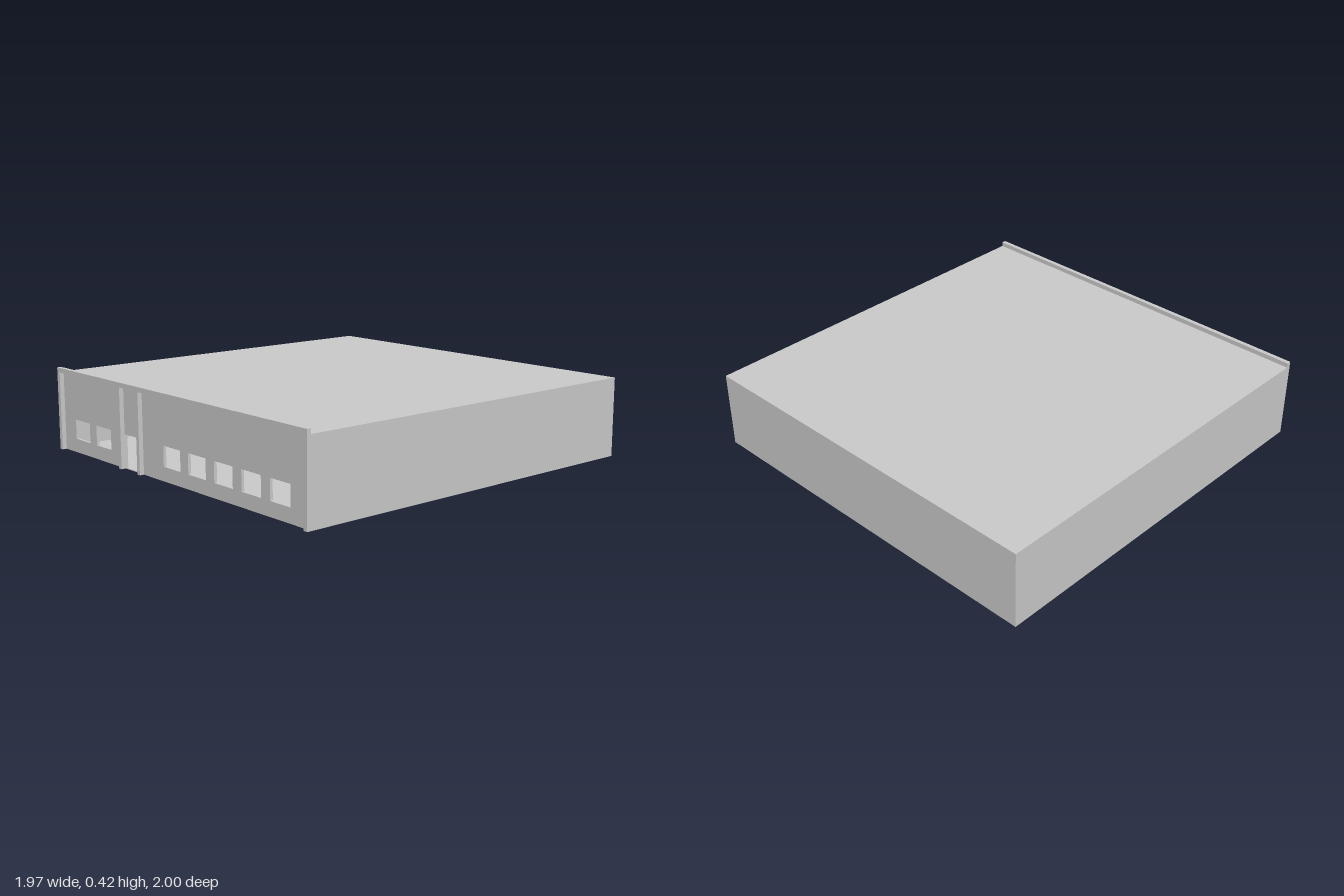
import * as THREE from 'three';

const HALF_W = 0.985, HEIGHT = 0.4, BACK = -1, FACADE = 0.977, FRONT = 1, WALL = 0.015;

export function createModel() {
  const group = new THREE.Group();
  const material = new THREE.MeshStandardMaterial({ color: 0xcccccc });

  const add = (name, geometry) => {
    const mesh = new THREE.Mesh(geometry, material);
    mesh.name = name;
    group.add(mesh);
    return mesh;
  };

  // Box given by its minimum and maximum corners
  const box = (name, x0, x1, y0, y1, z0, z1) =>
    add(name, new THREE.BoxGeometry(x1 - x0, y1 - y0, z1 - z0))
      .position.set((x0 + x1) / 2, (y0 + y1) / 2, (z0 + z1) / 2);

  // Hollow shell: floor, roof, side and back walls
  const inner = FACADE - WALL, t = 0.004;
  box('floor', -HALF_W, HALF_W, 0, t, BACK, FACADE);
  box('roof', -HALF_W, HALF_W, HEIGHT - t, HEIGHT, BACK, FACADE);
  box('rightWall', -HALF_W, -HALF_W + t, t, HEIGHT - t, BACK, inner);
  box('leftWall', HALF_W - t, HALF_W, t, HEIGHT - t, BACK, inner);
  box('backWall', -HALF_W + t, HALF_W - t, t, HEIGHT - t, BACK, BACK + t);

  // Inner partition behind the entrance
  box('partition', -0.352, -0.35, t, HEIGHT - t, BACK + t, 0.3);

  // Front wall with doorway and window openings
  const wall = new THREE.Shape();
  [[-HALF_W, t], [-0.4, t], [-0.4, 0.17], [-0.26, 0.17], [-0.26, t],
    [HALF_W, t], [HALF_W, HEIGHT - t], [-HALF_W, HEIGHT - t]]
    .forEach(([x, y], i) => (i ? wall.lineTo(x, y) : wall.moveTo(x, y)));
  wall.closePath();
  for (const x of [-0.857, -0.66, -0.07, 0.127, 0.325, 0.522, 0.718]) {
    const hole = new THREE.Path();
    hole.moveTo(x, 0.07);
    hole.lineTo(x, 0.17);
    hole.lineTo(x + 0.135, 0.17);
    hole.lineTo(x + 0.135, 0.07);
    hole.closePath();
    wall.holes.push(hole);
  }
  add('frontWall', new THREE.ExtrudeGeometry(wall, { depth: WALL, bevelEnabled: false }))
    .position.z = inner;

  // Pilasters and the parapet band above them
  for (const [x0, x1] of [[-HALF_W, -0.962], [-0.422, -0.4], [-0.262, -0.24], [0.962, HALF_W]])
    box('pilaster', x0, x1, 0, HEIGHT, FACADE, FRONT);
  box('parapet', -HALF_W, HALF_W, HEIGHT, 0.424, FACADE, FRONT);

  return group;
}
